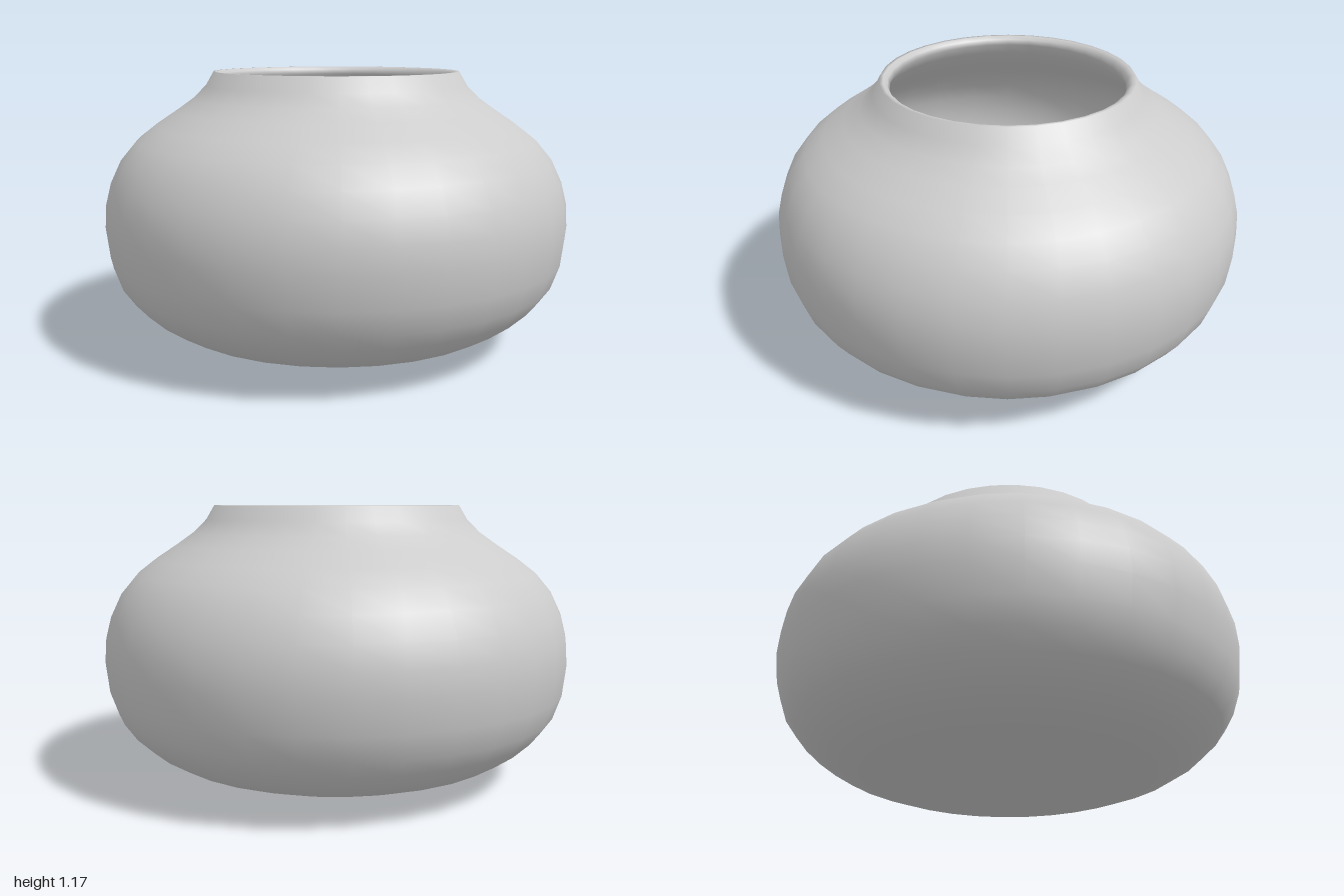
import * as THREE from 'three';

const SIDES = 32;
const toPoints = (pairs) => pairs.map(([r, y]) => new THREE.Vector2(r, y));

export function createModel() {
  const group = new THREE.Group();
  group.name = 'bowl';

  // outside wall, from the small point under the base up to the neck
  const outer = toPoints([
    [0, 0], [0.03, 0.006], [0.1, 0.006], [0.3, 0.01], [0.47, 0.028], [0.62, 0.057],
    [0.74, 0.1], [0.83, 0.155], [0.9, 0.22], [0.95, 0.29], [0.985, 0.39],
    [1, 0.52], [0.993, 0.62], [0.97, 0.71], [0.925, 0.805], [0.86, 0.883],
    [0.78, 0.945], [0.69, 1.005], [0.62, 1.055], [0.565, 1.11], [0.53, 1.17],
  ]);

  // rounded lip turning into the mouth
  const lip = toPoints([[0.515, 1.17], [0.498, 1.158], [0.49, 1.135]]);

  // inside wall, following the outside down to the dimple in the floor
  const inner = toPoints([
    [0.53, 1.085], [0.59, 1.03], [0.67, 0.97], [0.76, 0.91], [0.835, 0.85],
    [0.895, 0.78], [0.935, 0.7], [0.958, 0.61], [0.963, 0.52], [0.948, 0.4],
    [0.912, 0.305], [0.865, 0.24], [0.8, 0.185], [0.715, 0.135], [0.6, 0.092],
    [0.46, 0.064], [0.3, 0.048], [0.1, 0.042], [0.03, 0.036], [0, 0.025],
  ]);

  const body = new THREE.Mesh(
    new THREE.LatheGeometry([...outer, ...lip, ...inner], SIDES),
    new THREE.MeshStandardMaterial({ color: 0xcccccc }),
  );
  body.name = 'bowlBody';
  group.add(body);
  return group;
}
